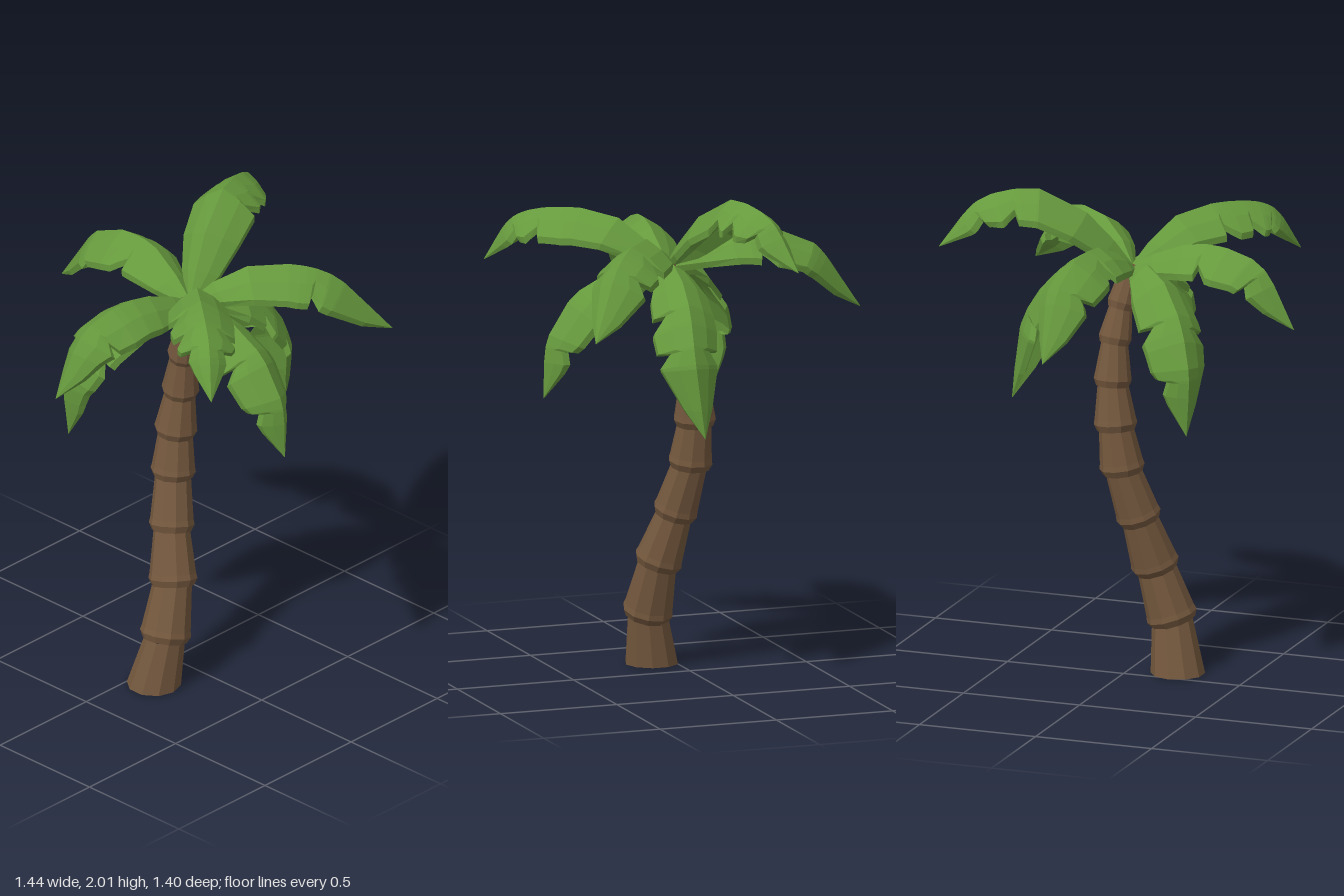
import * as THREE from 'three';

const bark = new THREE.MeshStandardMaterial({ color: 0x73573d, flatShading: true });
const leaf = new THREE.MeshStandardMaterial({ color: 0x66993d, flatShading: true });
const V = (x, y, z) => new THREE.Vector3(x, y, z);
const CROWN = [0, 1.69, 0.1];

// Trunk joints: x, y, z, radius of the flared lower rim
const JOINTS = [
  [-0.2, 0, 0.09, 0.11], [-0.165, 0.22, 0.12, 0.105], [-0.1, 0.44, 0.1, 0.1],
  [-0.05, 0.65, 0.045, 0.093], [0.005, 0.86, 0, 0.092], [0.03, 1.04, -0.01, 0.088],
  [0.047, 1.22, 0, 0.077], [0.045, 1.39, 0.02, 0.067], [0.03, 1.53, 0.055, 0.058], [0, 1.69, 0.1, 0.05],
];

// Each frond: spine points after the crown, then notch positions on its two edges
const FRONDS = [
  { name: 'backFrond', spine: [[0.04, 1.8, -0.08], [0.07, 1.82, -0.24], [0.085, 1.76, -0.48], [0.085, 1.47, -0.7]], notches: [[0.36, 0.66], [0.4]] },
  { name: 'upperLeftFrond', spine: [[0.13, 1.87, 0.04], [0.3, 2, -0.03], [0.56, 1.97, -0.13], [0.72, 1.77, -0.2]], notches: [[0.6, 0.78], [0.5, 0.6, 0.76]] },
  { name: 'lowerLeftFrond', spine: [[0.18, 1.7, 0.12], [0.37, 1.58, 0.14], [0.5, 1.38, 0.16], [0.53, 1.07, 0.13]], notches: [[0.6], [0.4, 0.6]] },
  { name: 'frontLeftFrond', spine: [[0.1, 1.8, 0.19], [0.21, 1.84, 0.28], [0.42, 1.79, 0.46], [0.62, 1.52, 0.635]], notches: [[0.45, 0.63], [0.56]] },
  { name: 'frontFrond', spine: [[0, 1.7, 0.24], [0, 1.6, 0.48], [0, 1.42, 0.61], [0, 1.17, 0.63]], notches: [[0.75], [0.45, 0.75]] },
  { name: 'frontRightFrond', spine: [[-0.11, 1.85, 0.24], [-0.24, 1.89, 0.39], [-0.41, 1.84, 0.6], [-0.5, 1.65, 0.7]], notches: [[0.62, 0.76], [0.45, 0.6, 0.73]] },
  { name: 'rightFrond', spine: [[-0.18, 1.78, 0.09], [-0.36, 1.81, 0.075], [-0.57, 1.75, 0.055], [-0.72, 1.5, 0.04]], notches: [[0.62], [0.38, 0.7]] },
  { name: 'backRightFrond', spine: [[-0.13, 1.71, 0], [-0.27, 1.6, -0.13], [-0.37, 1.38, -0.24], [-0.36, 1.09, -0.235]], notches: [[0.5], [0.45, 0.75]] },
];

// Piecewise-linear half width along a frond
const WIDTH = [[0, 0.02], [0.12, 0.08], [0.28, 0.118], [0.5, 0.132], [0.7, 0.115], [0.88, 0.058], [1, 0]];
function halfWidth(t, notches) {
  const i = Math.max(1, WIDTH.findIndex(p => p[0] >= t));
  const [t0, w0] = WIDTH[i - 1], [t1, w1] = WIDTH[i];
  let w = w0 + (w1 - w0) * (t - t0) / (t1 - t0);
  // a barbed cut: sudden step in, then easing back out
  for (const n of notches) {
    const d = t - n;
    if (d > 0.001 && d < 0.079) w *= 0.66 + 0.34 * Math.max(0, d - 0.012) / 0.068;
  }
  return w;
}

// Thick ridged leaf: ring cross-sections swept along the spine
function frondGeometry({ spine, notches }) {
  const start = V(...CROWN);
  const curve = new THREE.CatmullRomCurve3([start, ...spine.map(p => V(...p))]);
  const tip = curve.getPoint(1);
  const side = V(0, 1, 0).cross(V(tip.x - start.x, 0, tip.z - start.z).normalize());
  const ts = new Set(WIDTH.map(p => p[0]));
  notches.flat().forEach(n => [n, n + 0.012, n + 0.08].forEach(t => ts.add(+t.toFixed(3))));
  const rows = [...ts].sort((a, b) => a - b);
  const section = [[-1, 0.78], [-0.55, 0.34], [0, 0], [0.55, 0.34], [1, 0.78]];
  const pos = [], index = [], n = section.length * 2;
  rows.forEach((t, r) => {
    const c = curve.getPointAt(t), normal = curve.getTangentAt(t).cross(side).normalize();
    const thick = 0.028 * Math.min(1, (1 - t) * 6 + 0.1);
    const put = ([s, drop], depth) => {
      const w = halfWidth(t, notches[s > 0 ? 0 : 1]);
      const p = c.clone().addScaledVector(side, s * w).addScaledVector(normal, -drop * w - depth);
      pos.push(p.x, p.y, p.z);
    };
    section.forEach(s => put(s, 0));
    [...section].reverse().forEach(s => put(s, thick));
    if (r === 0) return;
    for (let i = 0; i < n; i++) {
      const a = (r - 1) * n + i, b = (r - 1) * n + (i + 1) % n;
      index.push(a, a + n, b + n, a, b + n, b);
    }
  });
  const g = new THREE.BufferGeometry();
  g.setAttribute('position', new THREE.Float32BufferAttribute(pos, 3));
  g.setIndex(index);
  g.computeVertexNormals();
  return g;
}

// One flared trunk section between two joints
function trunkSection(a, b, first) {
  const from = V(...a), axis = V(...b).sub(from), h = axis.length(), r = a[3];
  const profile = first
    ? [[0, 0], [r, 0], [0.082, h]]
    : [[0, -0.02], [r * 0.86, -0.02], [r, 0.008], [r * 0.95, 0.03], [b[3] * 0.78, h], [0, h]];
  const g = new THREE.LatheGeometry(profile.map(p => new THREE.Vector2(...p)), 10);
  const m = new THREE.Matrix4();
  // the lowest section is sheared so its foot stays flat on the ground
  if (first) m.makeBasis(V(1, 0, 0), axis.clone().divideScalar(h), V(0, 0, 1));
  else m.makeRotationFromQuaternion(new THREE.Quaternion().setFromUnitVectors(V(0, 1, 0), axis.clone().normalize()));
  g.applyMatrix4(m).translate(from.x, from.y, from.z);
  return g;
}

export function createModel() {
  const model = new THREE.Group();
  model.name = 'palmTree';
  const trunk = new THREE.Group(), crown = new THREE.Group();
  trunk.name = 'trunk';
  crown.name = 'crown';
  for (let i = 0; i < JOINTS.length - 1; i++) {
    const mesh = new THREE.Mesh(trunkSection(JOINTS[i], JOINTS[i + 1], i === 0), bark);
    mesh.name = 'trunkSection' + (i + 1);
    trunk.add(mesh);
  }
  for (const f of FRONDS) {
    const mesh = new THREE.Mesh(frondGeometry(f), leaf);
    mesh.name = f.name;
    crown.add(mesh);
  }
  model.add(trunk, crown);
  return model;
}
